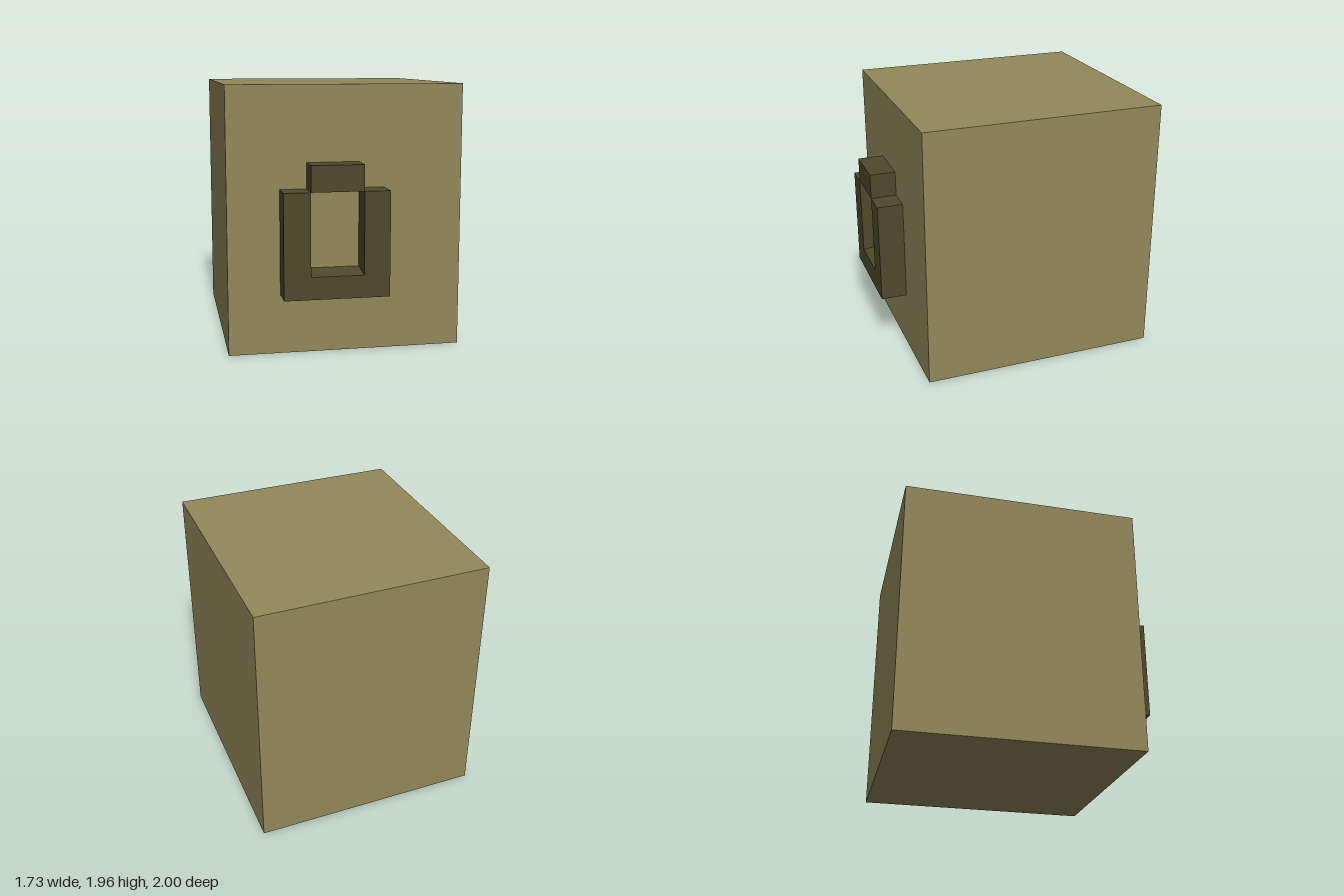
import * as THREE from 'three';

export function createModel() {
  const model = new THREE.Group();
  const tan = new THREE.MeshStandardMaterial({ color: 0x93885a });
  tan.name = 'tan';
  const darkOlive = new THREE.MeshStandardMaterial({ color: 0x4e492b });
  darkOlive.name = 'dark olive';

  const backZ = 0.805, frontZ = 1;

  // Box spanning two opposite corners
  function block(name, material, [x0, y0, z0], [x1, y1, z1], parent) {
    const geometry = new THREE.BoxGeometry(x1 - x0, y1 - y0, z1 - z0);
    geometry.translate((x0 + x1) / 2, (y0 + y1) / 2, (z0 + z1) / 2);
    const mesh = new THREE.Mesh(geometry, material);
    mesh.name = name;
    parent.add(mesh);
    return mesh;
  }

  // Main body
  block('body', tan, [-0.865, 0, -1], [0.865, 1.955, backZ], model);

  // Raised ring on the front: two sides, a top piece and a bottom bar
  const ring = new THREE.Group();
  ring.name = 'frontRing';
  model.add(ring);
  block('ringRightSide', darkOlive, [-0.485, 0.44, backZ], [-0.29, 1.21, frontZ], ring);
  block('ringLeftSide', darkOlive, [0.095, 0.44, backZ], [0.285, 1.21, frontZ], ring);
  block('ringTop', darkOlive, [-0.29, 1.21, backZ], [0.095, 1.4, frontZ], ring);
  const bottom = block('ringBottom', darkOlive, [-0.29, 0.44, backZ], [0.095, 0.63, frontZ], ring);

  // Slope the top of the bottom bar down towards the front
  const position = bottom.geometry.attributes.position;
  for (let i = 0; i < position.count; i++) {
    if (position.getY(i) > 0.6 && position.getZ(i) > 0.9) position.setY(i, 0.605);
  }
  bottom.geometry.computeVertexNormals();

  return model;
}
